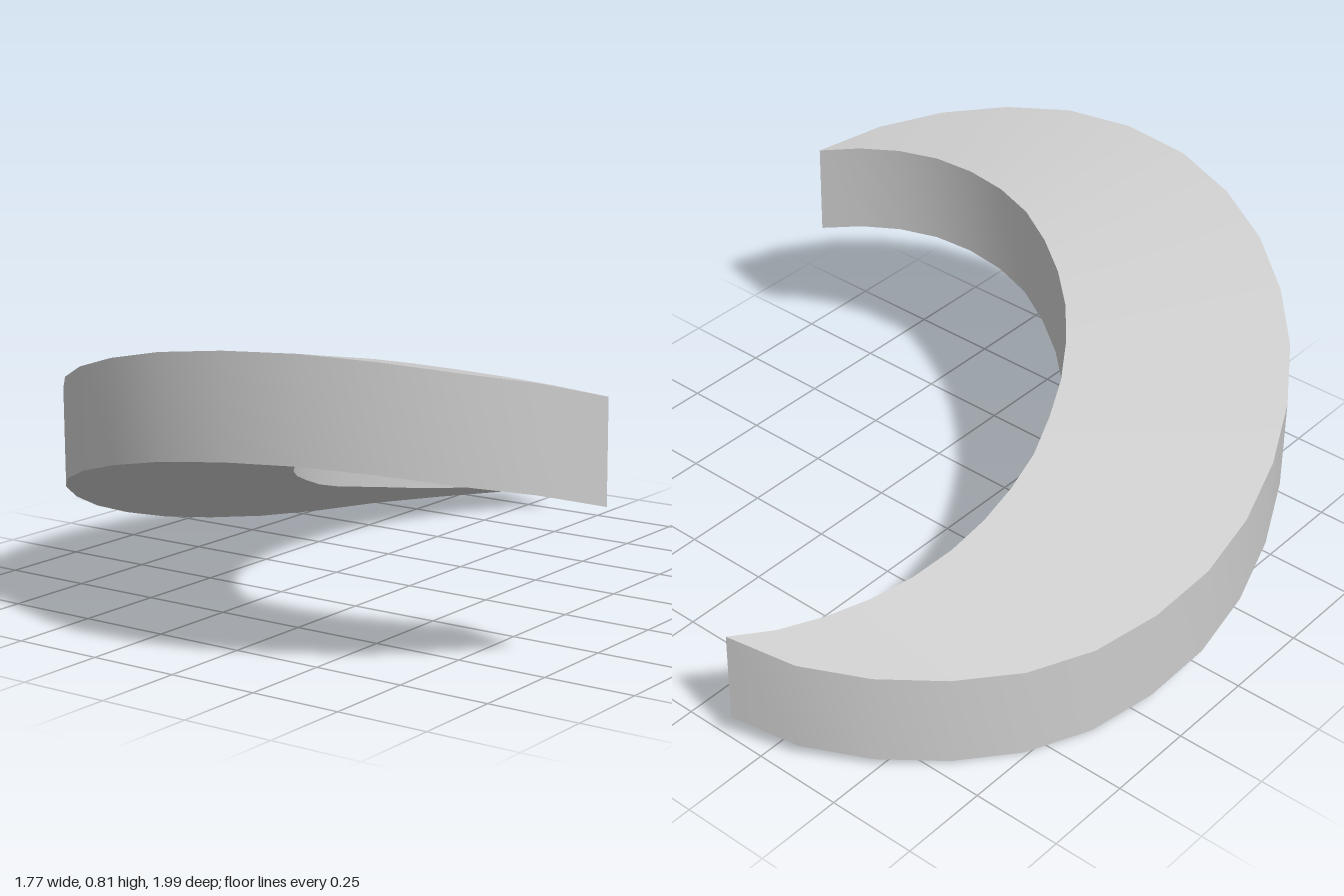
import * as THREE from 'three';
import { mergeGeometries } from 'three/addons/utils/BufferGeometryUtils.js';

const THICKNESS = 0.266;
const SEGMENTS = 21;

// Evenly spaced points along a smooth lower edge given as [x, y, z]
function edge(points) {
  const curve = new THREE.CatmullRomCurve3(points.map((p) => new THREE.Vector3(...p)));
  return curve.getSpacedPoints(SEGMENTS);
}

// Smooth band of quads between two edges of equal length
function strip(a, b) {
  const positions = [];
  const index = [];
  a.forEach((p, i) => {
    positions.push(...p.toArray(), ...b[i].toArray());
    if (i < a.length - 1) {
      const k = i * 2;
      index.push(k, k + 2, k + 1, k + 2, k + 3, k + 1);
    }
  });
  const geometry = new THREE.BufferGeometry();
  geometry.setAttribute('position', new THREE.Float32BufferAttribute(positions, 3));
  geometry.setIndex(index);
  geometry.computeVertexNormals();
  return geometry;
}

export function createModel() {
  const group = new THREE.Group();
  group.name = 'crescent';
  const grey = new THREE.MeshStandardMaterial({ color: 0xcccccc });
  grey.name = 'light grey';

  // Lower edges, from the back tip round to the front tip
  const backTip = [-0.15, 0.073, -1];
  const frontTip = [0.88, 0.43, 0.44];
  const outer = edge([
    backTip, [-0.32, 0.043, -0.945], [-0.59, 0.015, -0.75], [-0.8, 0.003, -0.44],
    [-0.89, 0.066, -0.03], [-0.83, 0.18, 0.34], [-0.64, 0.325, 0.67],
    [-0.34, 0.45, 0.905], [0.01, 0.53, 0.995], [0.37, 0.549, 0.93],
    [0.68, 0.505, 0.73], [0.8, 0.471, 0.58], frontTip,
  ]);
  const inner = edge([
    backTip, [-0.25, 0.082, -0.88], [-0.36, 0.107, -0.64], [-0.405, 0.15, -0.4],
    [-0.38, 0.208, -0.13], [-0.34, 0.25, 0], [-0.26, 0.311, 0.17],
    [-0.1, 0.395, 0.365], [0.15, 0.462, 0.52], [0.34, 0.479, 0.567],
    [0.54, 0.478, 0.567], [0.73, 0.46, 0.515], frontTip,
  ]);
  const lift = (points) => points.map((p) => p.clone().setY(p.y + THICKNESS));
  const outerTop = lift(outer);
  const innerTop = lift(inner);

  // Curved slab: outer wall, inner wall, top and underside
  const slab = new THREE.Mesh(
    mergeGeometries([
      strip(outer, outerTop),
      strip(innerTop, inner),
      strip(outerTop, innerTop),
      strip(inner, outer),
    ]),
    grey,
  );
  slab.name = 'crescentSlab';
  group.add(slab);
  return group;
}
